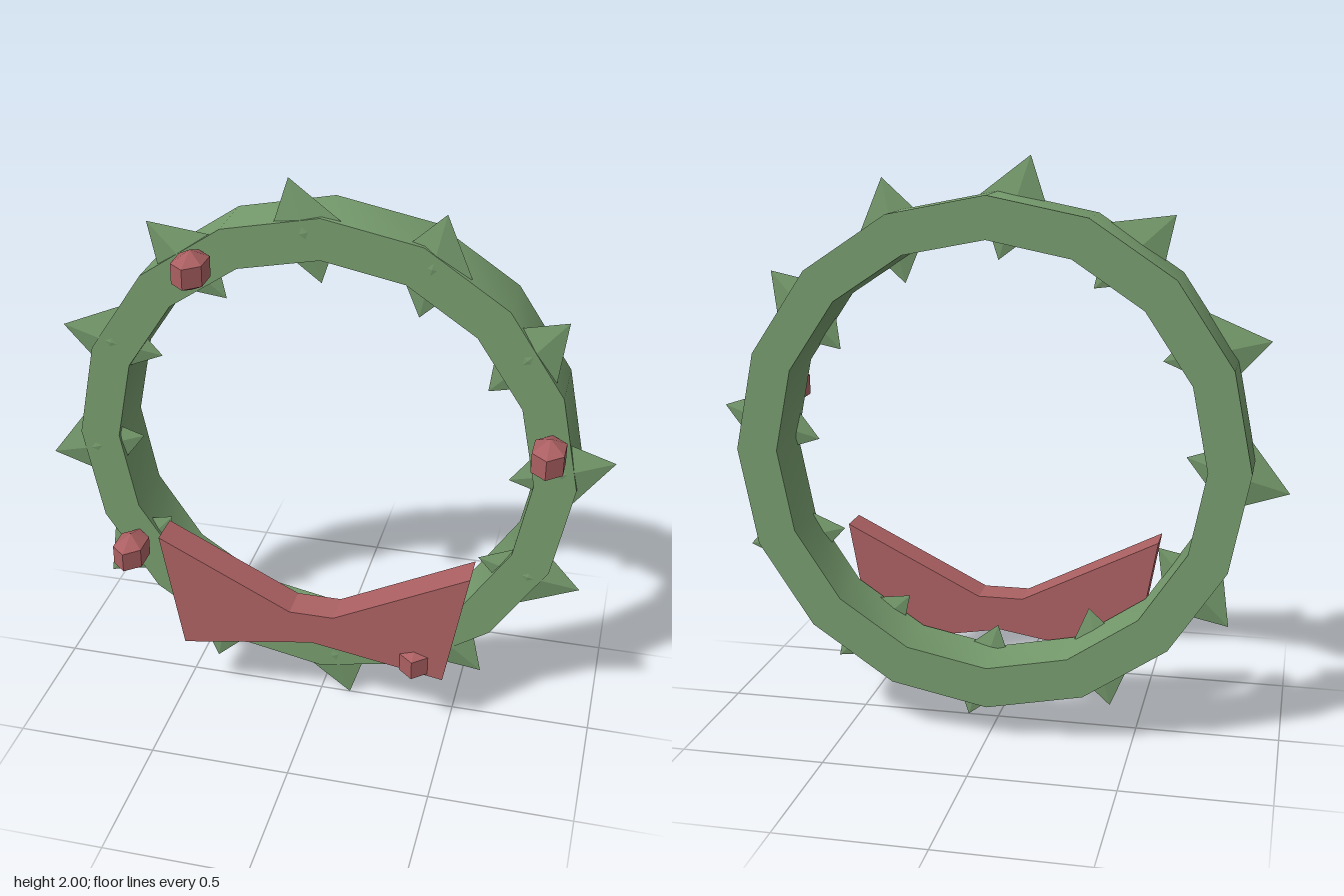
import * as THREE from 'three';
import { toCreasedNormals } from 'three/addons/utils/BufferGeometryUtils.js';

const CENTRE_Y = 1.0;

export function createModel() {
  const model = new THREE.Group();
  model.name = 'wreath';

  const green = new THREE.MeshStandardMaterial({ color: 0x759a6c });
  green.name = 'leaf green';
  const red = new THREE.MeshStandardMaterial({ color: 0xab6062 });
  red.name = 'berry red';

  const add = (parent, name, geometry, material) => {
    const mesh = new THREE.Mesh(geometry, material);
    mesh.name = name;
    parent.add(mesh);
    return mesh;
  };

  // Sixteen-sided hoop with a rectangular section
  const section = [[0.88, -0.203], [0.88, 0.022], [0.737, 0.022], [0.737, -0.203], [0.88, -0.203]]
    .map(([r, z]) => new THREE.Vector2(r, z));
  const hoop = new THREE.LatheGeometry(section, 16);
  hoop.rotateX(Math.PI / 2);
  add(model, 'hoop', toCreasedNormals(hoop, 0.6), green).position.y = CENTRE_Y;

  // Twelve flat, slightly twisted diamond leaves around the hoop
  const leaves = new THREE.Group();
  leaves.name = 'leaves';
  leaves.position.y = CENTRE_Y;
  model.add(leaves);
  const leafGeometry = new THREE.OctahedronGeometry(1);
  leafGeometry.scale(0.13, 0.183, 0.025);
  leafGeometry.rotateZ(THREE.MathUtils.degToRad(17.4));
  leafGeometry.translate(-0.055, 0.825, 0);
  for (let i = 0; i < 12; i++) {
    add(leaves, 'leaf', leafGeometry, green).rotation.z = (i * Math.PI) / 6;
  }

  // Faceted berries on the front face
  const berries = new THREE.Group();
  berries.name = 'berries';
  model.add(berries);
  const berryGeometry = toCreasedNormals(
    new THREE.SphereGeometry(0.07, 6, 3, Math.PI / 2), 0.3);
  berryGeometry.scale(1, 1, 1.5);
  berryGeometry.computeVertexNormals();
  for (const [x, y] of [[-0.41, 1.7], [0.786, 1.165], [-0.685, 0.58], [0.375, 0.293]]) {
    add(berries, 'berry', berryGeometry, red).position.set(x, y, 0.11);
  }

  // Bow across the bottom
  const outline = [[-0.56, 0.68], [-0.48, 0.24], [0, 0.32], [0.48, 0.24], [0.56, 0.68], [0.08, 0.44], [-0.08, 0.44]]
    .map(([x, y]) => new THREE.Vector2(x, y));
  const bow = new THREE.ExtrudeGeometry(new THREE.Shape(outline), { depth: 0.122, bevelEnabled: false });
  add(model, 'bow', bow, red).position.z = 0.035;

  return model;
}
